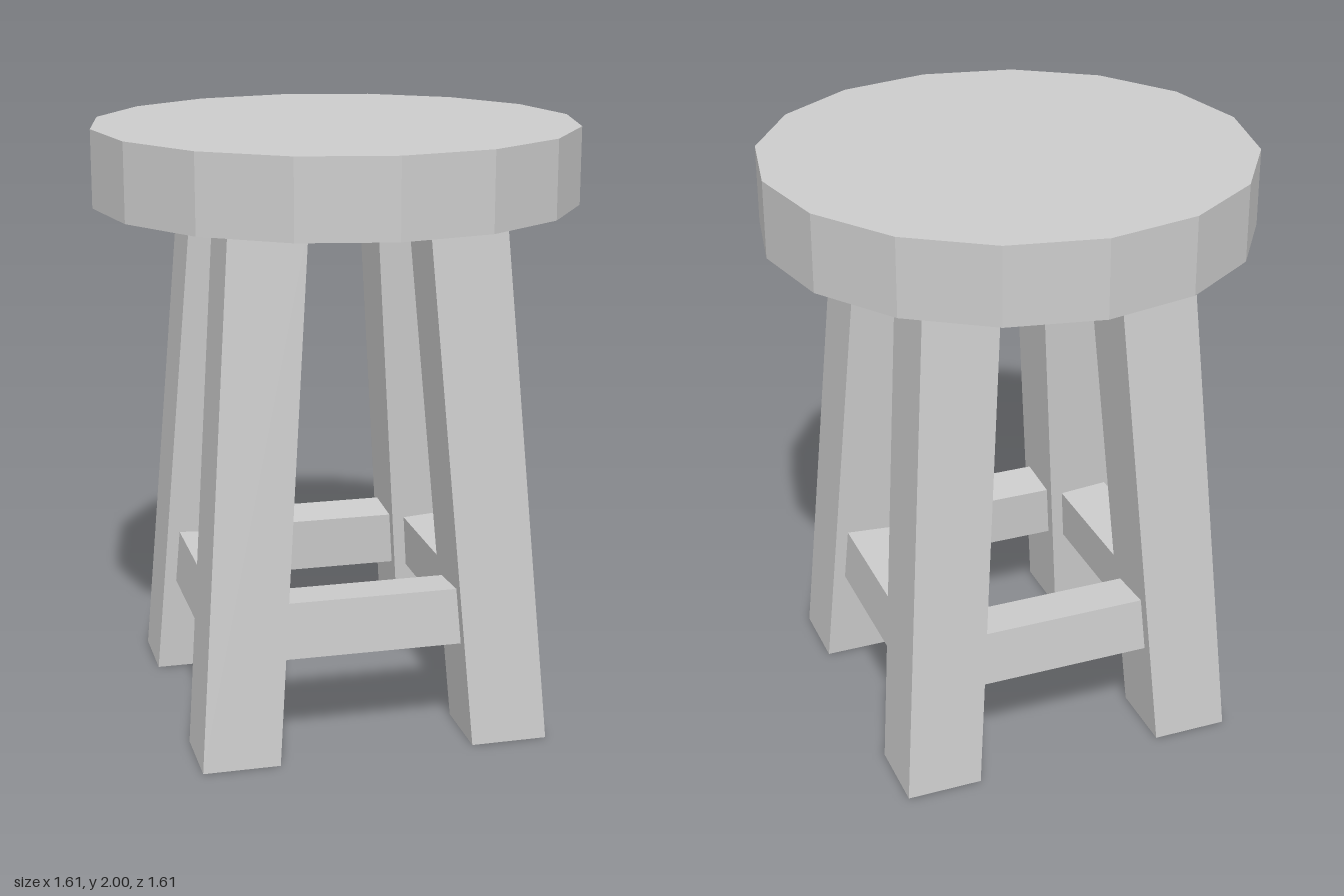
import * as THREE from 'three';

const SEAT_BOTTOM = 1.745;
const LEG_WIDTH = 0.255;
const FOOT = 0.4525; // leg centre at the floor
const LEAN = 0.13 / SEAT_BOTTOM; // inward drift per unit of height

export function createModel() {
  const grey = new THREE.MeshStandardMaterial({ color: 0xcccccc, flatShading: true });
  grey.name = 'plain grey';

  const model = new THREE.Group();
  model.name = 'stool';

  const add = (name, geometry, parent = model) => {
    const mesh = new THREE.Mesh(geometry, grey);
    mesh.name = name;
    parent.add(mesh);
    return mesh;
  };

  // Sixteen-sided seat
  const seatHeight = 2 - SEAT_BOTTOM;
  add('seat', new THREE.CylinderGeometry(0.805, 0.805, seatHeight, 16))
    .position.y = SEAT_BOTTOM + seatHeight / 2;

  // Splayed legs: boxes sheared towards the centre, with level ends
  for (const [sx, xName] of [[1, 'Left'], [-1, 'Right']]) {
    for (const [sz, zName] of [[1, 'front'], [-1, 'back']]) {
      const leg = new THREE.BoxGeometry(LEG_WIDTH, SEAT_BOTTOM, LEG_WIDTH);
      leg.translate(0, SEAT_BOTTOM / 2, 0);
      const p = leg.attributes.position;
      for (let i = 0; i < p.count; i++) {
        const offset = FOOT - LEAN * p.getY(i);
        p.setX(i, p.getX(i) + sx * offset);
        p.setZ(i, p.getZ(i) + sz * offset);
      }
      leg.computeVertexNormals();
      add(zName + xName + 'Leg', leg);
    }
  }

  // Four rungs, tilted to follow the lean of the legs
  const rungY = 0.425;
  ['front', 'left', 'back', 'right'].forEach((side, i) => {
    const pivot = new THREE.Group();
    pivot.name = side + 'RungGroup';
    pivot.rotation.y = i * Math.PI / 2;
    model.add(pivot);
    const rung = add(side + 'Rung', new THREE.BoxGeometry(0.7, 0.188, 0.17), pivot);
    rung.position.set(0, rungY, FOOT - LEAN * rungY);
    rung.rotation.x = -Math.atan(LEAN);
  });

  return model;
}
